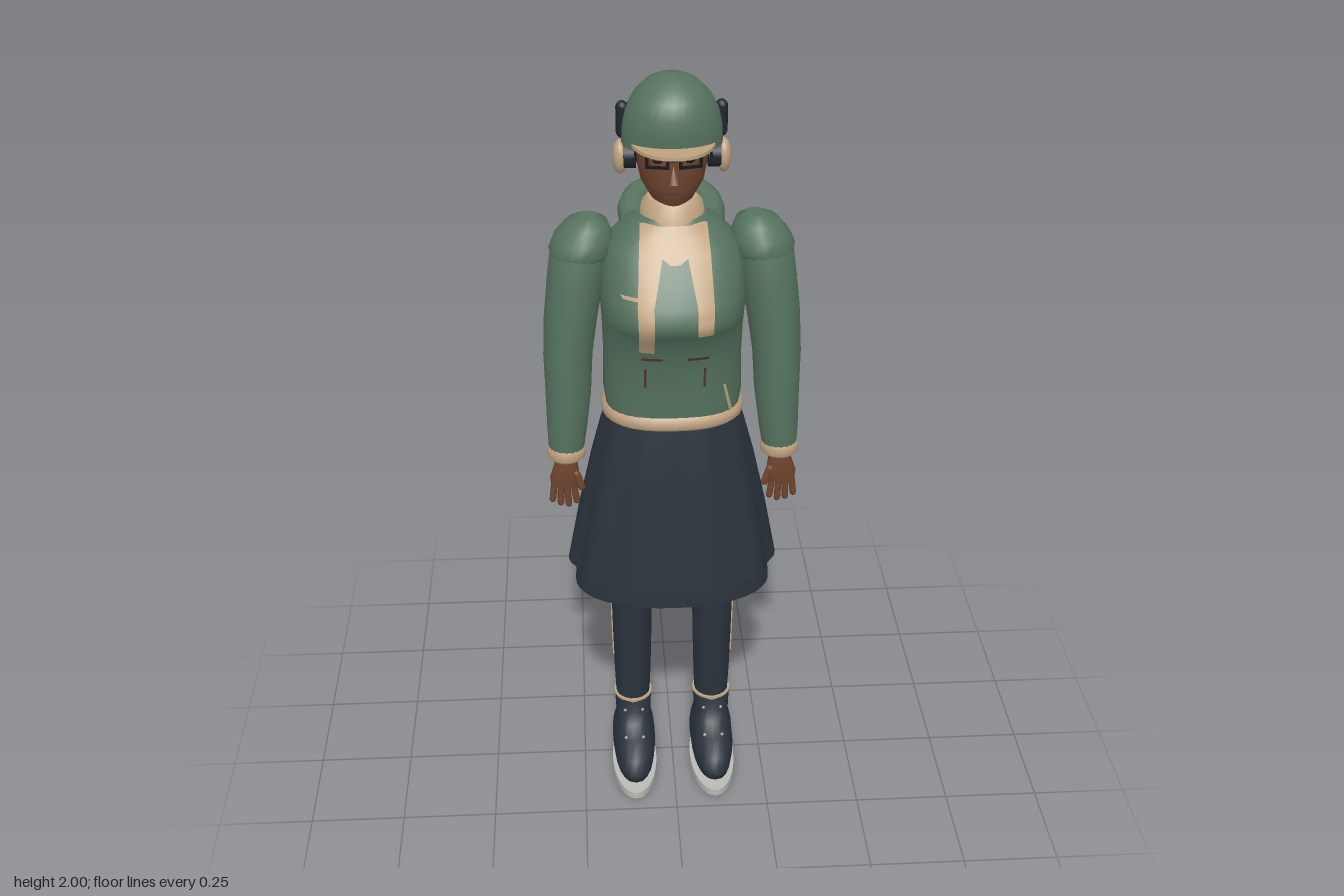
import * as THREE from 'three';

const mat = (name, color, side = THREE.FrontSide) => {
  const m = new THREE.MeshStandardMaterial({ color, side });
  m.name = name;
  return m;
};

// Stack of (super)elliptic rings, bottom to top: [y, cx, cz, rx, rFront, rBack]
function loft(rows, { n = 24, p = 2, caps = true, ripple = null } = {}) {
  const pos = [], idx = [];
  const ring = ([y, cx, cz, rx, rf, rb = rf], k) => {
    for (let j = 0; j < n; j++) {
      const a = (j / n) * Math.PI * 2, c = Math.cos(a), s = Math.sin(a);
      const w = ripple ? ripple(a, k) : 1;
      pos.push(cx + Math.sign(c) * Math.abs(c) ** (2 / p) * rx * w, y,
        cz + Math.sign(s) * Math.abs(s) ** (2 / p) * (s > 0 ? rf : rb) * w);
    }
  };
  const last = rows.length - 1;
  rows.forEach((r, i) => ring(r, i / last));
  for (let i = 0; i < last; i++) for (let j = 0; j < n; j++) {
    const a = i * n + j, b = i * n + (j + 1) % n;
    idx.push(a, a + n, b, b, a + n, b + n);
  }
  if (caps) [0, last].forEach((i) => {
    const base = pos.length / 3, r = rows[i];
    ring(r, i / last);
    pos.push(r[1], r[0], r[2]);
    for (let j = 0; j < n; j++) {
      const a = base + j, b = base + (j + 1) % n;
      i ? idx.push(base + n, b, a) : idx.push(base + n, a, b);
    }
  });
  const g = new THREE.BufferGeometry();
  g.setAttribute('position', new THREE.Float32BufferAttribute(pos, 3));
  g.setIndex(idx);
  g.computeVertexNormals();
  return g;
}

// Jacket body profile, also used to lay trims on the chest
const TORSO = [
  [1.13, 0, 0, 0.165, 0.125, 0.13], [1.2, 0, 0, 0.174, 0.13, 0.125], [1.3, 0, 0, 0.172, 0.137, 0.12],
  [1.38, 0, 0, 0.174, 0.165, 0.12], [1.42, 0, 0, 0.176, 0.195, 0.12], [1.45, 0, 0, 0.178, 0.21, 0.122],
  [1.49, 0, 0, 0.178, 0.195, 0.124], [1.55, 0, 0, 0.172, 0.157, 0.125], [1.6, 0, 0, 0.155, 0.122, 0.12],
  [1.64, 0, 0, 0.115, 0.09, 0.1], [1.67, 0, 0, 0.07, 0.07, 0.07]];
const TP = 2.5;
function chestZ(x, y) {
  let i = 0;
  while (i < TORSO.length - 2 && TORSO[i + 1][0] < y) i++;
  const [a, b] = [TORSO[i], TORSO[i + 1]];
  const t = THREE.MathUtils.clamp((y - a[0]) / (b[0] - a[0]), 0, 1);
  const rx = a[3] + (b[3] - a[3]) * t, rf = a[4] + (b[4] - a[4]) * t;
  return rf * (1 - Math.min(0.9, Math.abs(x) / rx) ** TP) ** (1 / TP);
}

// Thin cloth laid on the chest; rows from top to bottom: [xMin, xMax, y]
function ribbon(rows, lift) {
  const sub = 6, cols = 4, g = new THREE.PlaneGeometry(1, 1, cols, (rows.length - 1) * sub);
  const P = g.attributes.position;
  for (let k = 0; k < P.count; k++) {
    const r = Math.floor(k / (cols + 1)), u = (k % (cols + 1)) / cols;
    const i = Math.min(Math.floor(r / sub), rows.length - 2), t = r / sub - i;
    const [x0, x1, y] = rows[i].map((v, q) => v + (rows[i + 1][q] - v) * t);
    const x = x0 + (x1 - x0) * u;
    P.setXYZ(k, x, y, chestZ(x, y) + lift);
  }
  g.computeVertexNormals();
  return g;
}

export function createModel() {
  const root = new THREE.Group();
  const green = mat('green cloth', 0x56735f, THREE.DoubleSide);
  const dark = mat('dark navy cloth', 0x2b333c, THREE.DoubleSide);
  const hairMat = mat('dark hair', 0x20262f);
  const tan = mat('tan trim', 0xc0a381, THREE.DoubleSide);
  const skin = mat('brown skin', 0x70452f);
  const black = mat('black frame', 0x14171b);
  const brown = mat('brown stitching', 0x553528, THREE.DoubleSide);
  const soleMat = mat('pale sole', 0xb9bab5);
  const add = (name, geo, m, x = 0, y = 0, z = 0) => {
    const o = new THREE.Mesh(geo, m);
    o.name = name;
    o.position.set(x, y, z);
    root.add(o);
    return o;
  };

  // Head and face
  add('neck', loft([[1.6, 0, -0.01, 0.05, 0.05], [1.75, 0, -0.01, 0.045, 0.045]]), skin);
  add('head', loft([[1.695, 0, 0, 0.03, 0.055, 0.03], [1.71, 0, 0, 0.052, 0.07, 0.05], [1.75, 0, 0, 0.075, 0.08, 0.08],
    [1.8, 0, 0, 0.085, 0.085, 0.1], [1.86, 0, 0, 0.09, 0.085, 0.105], [1.92, 0, 0, 0.08, 0.075, 0.09]]), skin);
  const nose = add('nose', new THREE.ConeGeometry(0.013, 0.05, 6), skin, 0, 1.79, 0.088);
  nose.rotation.x = -0.25;
  add('mouth', new THREE.BoxGeometry(0.036, 0.005, 0.008), brown, 0, 1.738, 0.076);
  add('hair', loft([[1.75, 0, -0.05, 0.06, 0.05], [1.78, 0, -0.045, 0.088, 0.07], [1.81, 0, -0.04, 0.097, 0.078],
    [1.87, 0, -0.035, 0.1, 0.08]]), hairMat);

  // Glasses
  add('glassesBridge', new THREE.BoxGeometry(0.02, 0.006, 0.008), black, 0, 1.826, 0.092);
  for (const s of [-1, 1]) {
    const frame = new THREE.Shape([[-0.028, -0.016], [0.028, -0.016], [0.028, 0.016], [-0.028, 0.016]].map((q) => new THREE.Vector2(...q)));
    frame.holes.push(new THREE.Path([[-0.021, -0.01], [-0.021, 0.01], [0.021, 0.01], [0.021, -0.01]].map((q) => new THREE.Vector2(...q))));
    const rim = add('glassesRim', new THREE.ExtrudeGeometry(frame, { depth: 0.006, bevelEnabled: false }), black, s * 0.038, 1.82, 0.084);
    rim.rotation.y = s * 0.2;
    add('glassesTemple', new THREE.BoxGeometry(0.005, 0.007, 0.09), black, s * 0.088, 1.828, 0.035);
    const eye = add('eye', new THREE.SphereGeometry(0.012, 10, 8), black, s * 0.036, 1.82, 0.076);
    eye.scale.set(1.1, 0.6, 0.5);
  }

  // Helmet with peak
  add('helmet', loft([[1.84, 0, 0, 0.119, 0.1, 0.122], [1.88, 0, 0, 0.118, 0.105, 0.128], [1.92, 0, 0, 0.109, 0.105, 0.126],
    [1.955, 0, 0, 0.09, 0.09, 0.11], [1.98, 0, -0.005, 0.063, 0.065, 0.08], [1.994, 0, -0.005, 0.035, 0.037, 0.045],
    [2, 0, -0.005, 0.006, 0.006]], { n: 32 }), green);
  const peak = new THREE.Shape();
  peak.moveTo(-0.1, 0.03);
  peak.bezierCurveTo(-0.09, 0.215, 0.09, 0.215, 0.1, 0.03);
  const peakGeo = new THREE.ExtrudeGeometry(peak, { depth: 0.008, bevelEnabled: false, curveSegments: 16 }).rotateX(Math.PI / 2);
  const peakMesh = add('helmetPeak', peakGeo, tan, 0, 1.852, 0);
  peakMesh.rotation.x = -0.05;

  // Earmuffs
  for (const s of [-1, 1]) {
    add('earmuffCup', new THREE.SphereGeometry(0.03, 16, 12), tan, s * 0.122, 1.8, -0.01).scale.set(0.62, 1.4, 1);
    add('earmuffPad', new THREE.CylinderGeometry(0.033, 0.033, 0.03, 14), hairMat, s * 0.1, 1.805, -0.01).rotation.z = Math.PI / 2;
    add('earmuffArm', new THREE.CapsuleGeometry(0.015, 0.06, 4, 8), hairMat, s * 0.116, 1.89, -0.012);
  }

  // Ponytail
  add('hairTie', new THREE.TorusGeometry(0.03, 0.008, 8, 16), tan, 0, 1.862, -0.125).rotation.x = -0.35;
  add('ponytail', loft([[1.6, 0.002, -0.178, 0.005, 0.005], [1.65, 0.004, -0.188, 0.025, 0.022], [1.7, 0.004, -0.193, 0.036, 0.03],
    [1.75, 0.004, -0.187, 0.042, 0.035], [1.8, 0.003, -0.171, 0.043, 0.038], [1.85, 0, -0.147, 0.038, 0.037],
    [1.88, 0, -0.128, 0.022, 0.022]], { n: 12 }), hairMat);

  // Jacket
  add('jacketBody', loft(TORSO, { n: 36, p: TP }), green);
  add('jacketHem', loft([[1.13, 0, 0, 0.17, 0.13, 0.135], [1.138, 0, 0, 0.179, 0.138, 0.142], [1.157, 0, 0, 0.179, 0.138, 0.142],
    [1.166, 0, 0, 0.17, 0.128, 0.13]], { n: 32, p: 2.4 }), tan);
  const hood = new THREE.CatmullRomCurve3([[0.09, 1.64, 0.0], [0.092, 1.655, -0.06], [0.06, 1.665, -0.12], [0, 1.67, -0.14],
    [-0.06, 1.665, -0.12], [-0.092, 1.655, -0.06], [-0.09, 1.64, 0.0]].map((q) => new THREE.Vector3(...q)));
  add('hoodRoll', new THREE.TubeGeometry(hood, 28, 0.036, 10), green);

  // Scarf
  add('scarfCollar', loft([[1.62, 0, 0, 0.085, 0.095, 0.075], [1.655, 0, 0, 0.08, 0.083, 0.078], [1.69, 0, 0, 0.074, 0.07, 0.076],
    [1.705, 0, 0, 0.06, 0.055, 0.062]]), tan);
  add('scarfBib', ribbon([[-0.075, 0.075, 1.66], [-0.06, 0.06, 1.62], [-0.012, 0.012, 1.585]], 0.01), tan);
  add('scarfEnd', ribbon([[-0.08, -0.01, 1.66], [-0.085, -0.03, 1.6], [-0.091, -0.052, 1.5], [-0.088, -0.052, 1.37]], 0.014), tan);
  add('scarfEnd', ribbon([[0.01, 0.08, 1.66], [0.03, 0.085, 1.6], [0.05, 0.09, 1.5], [0.05, 0.088, 1.43]], 0.014), tan);

  // Jacket stitching and edging
  for (const s of [-1, 1]) {
    const strip = (a, b, y0, y1) => ribbon([[Math.min(s * a, s * b), Math.max(s * a, s * b), y0], [Math.min(s * a, s * b), Math.max(s * a, s * b), y1]], 0.003);
    add('pocketTop', strip(0.03, 0.082, 1.346, 1.338), brown);
    add('pocketSide', strip(0.07, 0.076, 1.31, 1.255), brown);
  }
  add('chestTab', ribbon([[-0.13, -0.09, 1.516], [-0.125, -0.09, 1.508]], 0.005), tan);
  add('sideEdging', ribbon([[0.12, 0.126, 1.25], [0.138, 0.146, 1.165]], 0.004), tan);

  // Sleeves, cuffs and hands
  for (const s of [-1, 1]) {
    add('sleeve', loft([[1.04, s * 0.272, 0.048, 0.044, 0.045], [1.1, s * 0.268, 0.045, 0.05, 0.053], [1.2, s * 0.262, 0.032, 0.057, 0.068],
      [1.3, s * 0.26, 0.02, 0.061, 0.078], [1.4, s * 0.25, 0.012, 0.066, 0.085], [1.5, s * 0.235, 0.002, 0.07, 0.088],
      [1.58, s * 0.222, -0.005, 0.072, 0.088], [1.62, s * 0.21, -0.005, 0.055, 0.07]], { n: 20 }), green);
    add('shoulderPuff', loft([[1.56, s * 0.222, -0.006, 0.073, 0.086], [1.575, s * 0.22, -0.006, 0.079, 0.093], [1.605, s * 0.214, -0.006, 0.073, 0.087],
      [1.638, s * 0.206, -0.006, 0.053, 0.065], [1.655, s * 0.202, -0.006, 0.022, 0.03]], { n: 16 }), green);
    add('cuff', loft([[1.02, s * 0.272, 0.048, 0.042, 0.043], [1.028, s * 0.272, 0.048, 0.049, 0.05], [1.046, s * 0.272, 0.048, 0.049, 0.05],
      [1.056, s * 0.272, 0.048, 0.043, 0.045]], { n: 18 }), tan);
    add('palm', loft([[0.935, s * 0.28, 0.056, 0.034, 0.014], [0.965, s * 0.278, 0.055, 0.038, 0.019], [1.0, s * 0.274, 0.052, 0.03, 0.021],
      [1.04, s * 0.272, 0.048, 0.024, 0.022]], { n: 14 }), skin);
    for (let i = 0; i < 4; i++) {
      const finger = add('finger', new THREE.CapsuleGeometry(0.0085, 0.05, 4, 8), skin, s * (0.253 + i * 0.0185), 0.915 - [0, 0.009, 0.005, -0.006][i], 0.056);
      finger.rotation.z = s * (i - 1.5) * 0.08;
    }
    const thumb = add('thumb', new THREE.CapsuleGeometry(0.01, 0.04, 4, 8), skin, s * 0.242, 0.955, 0.063);
    thumb.rotation.z = -s * 0.3;
  }

  // Skirt with pleats, over an underskirt
  add('skirt', loft([[0.675, 0, 0, 0.268, 0.182, 0.188], [0.85, 0, 0, 0.238, 0.165, 0.172], [1, 0, 0, 0.207, 0.147, 0.155],
    [1.1, 0, 0, 0.182, 0.133, 0.14], [1.145, 0, 0, 0.165, 0.125, 0.13]],
  { n: 60, p: 2.25, caps: false, ripple: (a, k) => 1 + 0.035 * (1 - k) * Math.cos(10 * a) }), dark);
  add('underskirt', loft([[0.61, 0, 0, 0.26, 0.158, 0.175], [0.7, 0, 0, 0.252, 0.155, 0.172], [0.8, 0, 0, 0.225, 0.148, 0.16]],
    { n: 40, p: 2.2, caps: false }), dark);

  // Legs, boots and soles
  for (const s of [-1, 1]) {
    const x = s * 0.11;
    add('leg', loft([[0.2, x, -0.005, 0.046, 0.048], [0.3, x, -0.005, 0.05, 0.055], [0.42, x, -0.005, 0.053, 0.061],
      [0.6, x, -0.005, 0.056, 0.067], [0.8, x, -0.005, 0.068, 0.078], [1, x * 0.85, 0, 0.08, 0.09]], { n: 18 }), dark);
    const stripe = add('legStripe', new THREE.BoxGeometry(0.006, 0.27, 0.009), tan, s * 0.164, 0.48, -0.006);
    stripe.rotation.z = -s * 0.018;
    add('boot', loft([[0.022, x, 0, 0.045, 0.165, 0.075], [0.045, x, 0, 0.057, 0.195, 0.095], [0.075, x, 0, 0.06, 0.207, 0.1],
      [0.105, x, 0, 0.057, 0.18, 0.096], [0.13, x, 0, 0.051, 0.125, 0.085], [0.15, x, 0, 0.048, 0.075, 0.07],
      [0.18, x, 0, 0.049, 0.057, 0.062], [0.215, x, 0, 0.051, 0.05, 0.06]], { n: 24, p: 2.3 }), dark);
    add('bootBand', loft([[0.212, x, -0.004, 0.053, 0.055], [0.221, x, -0.004, 0.053, 0.055]], { n: 20 }), tan);
    for (const t of [-1, 1]) for (const [y, z] of [[0.134, 0.108], [0.185, 0.05]])
      add('eyelet', new THREE.SphereGeometry(0.005, 6, 5), tan, x + t * 0.024, y, z);
    add('sole', new THREE.CylinderGeometry(1, 1, 0.02, 32), soleMat, x, 0.01, 0.05).scale.set(0.062, 1, 0.16);
  }
  return root;
}
